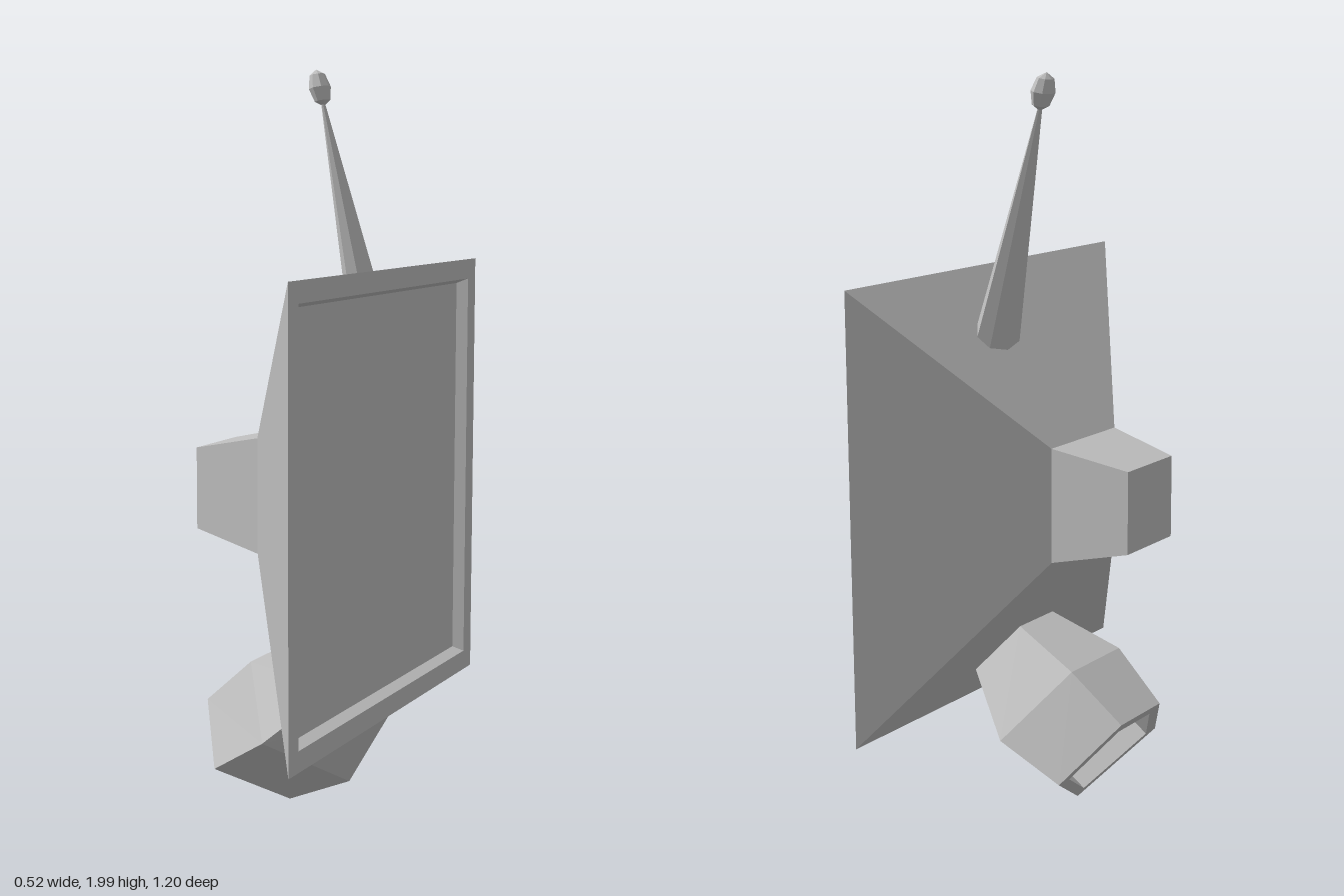
import * as THREE from 'three';

// Faceted skin over a row of rings (equal point counts), with optional end caps.
function loft(rings, capStart = true, capEnd = true) {
  const pos = [];
  const tri = (a, b, c) => pos.push(...a, ...b, ...c);
  const n = rings[0].length;
  for (let i = 0; i < rings.length - 1; i++) {
    for (let j = 0; j < n; j++) {
      const k = (j + 1) % n;
      const a = rings[i][j], b = rings[i][k], c = rings[i + 1][k], d = rings[i + 1][j];
      tri(a, b, c);
      tri(a, c, d);
    }
  }
  const first = rings[0], last = rings[rings.length - 1];
  for (let j = 1; j < n - 1; j++) {
    if (capStart) tri(first[0], first[j + 1], first[j]);
    if (capEnd) tri(last[0], last[j], last[j + 1]);
  }
  const g = new THREE.BufferGeometry();
  g.setAttribute('position', new THREE.Float32BufferAttribute(pos, 3));
  g.computeVertexNormals();
  return g;
}

function faceted(geometry) {
  const g = geometry.toNonIndexed();
  g.computeVertexNormals();
  return g;
}

export function createModel() {
  const model = new THREE.Group();
  const grey = new THREE.MeshStandardMaterial({ color: 0xbebebe });
  grey.name = 'grey';
  const add = (name, geometry, parent = model) => {
    const mesh = new THREE.Mesh(geometry, grey);
    mesh.name = name;
    parent.add(mesh);
    return mesh;
  };

  // Square ring facing +x around the housing centre line
  const midY = 0.88;
  const square = (x, h) => [[1, -1], [1, 1], [-1, 1], [-1, -1]].map(([y, z]) => [x, midY + y * h, z * h]);

  // Housing: small rear box flaring out to the wide front frame
  add('housing', loft([
    square(-0.262, 0.111), square(-0.054, 0.155), square(0.26, 0.6), square(0.26, 0.545),
  ], true, false));

  // Shallow recess with the flat screen at its bottom
  add('screen', loft([square(0.26, 0.545), square(0.23, 0.532)], false, true));

  // Foot: tilted five-sided barrel with a hollow lower end
  const axis = [0.814, 0.581];
  const pentagon = (cx, cy, half, width, top, scale = 1, shift = 0) =>
    [[1, -top], [1, top], [0, width], [-1, 0], [0, -width]].map(([u, z]) => [
      cx + axis[0] * shift - axis[1] * u * half * scale,
      cy + axis[1] * shift + axis[0] * u * half * scale,
      z * scale,
    ]);
  const lower = [-0.138, 0.148, 0.175, 0.248, 0.1];
  add('foot', loft([
    pentagon(...lower, 0.8, 0.06),
    pentagon(...lower, 0.8),
    pentagon(...lower),
    pentagon(0.025, 0.25, 0.206, 0.285, 0.12),
    pentagon(0.18, 0.39, 0.136, 0.18, 0.08),
  ]));

  // Antenna: flattened leaning spike with a faceted knob
  const antenna = new THREE.Group();
  antenna.name = 'antenna';
  antenna.position.set(0.009, 1.91, -0.11);
  antenna.rotation.z = 0.228;
  model.add(antenna);

  const spike = faceted(new THREE.CylinderGeometry(0.009, 0.103, 0.68, 8));
  spike.scale(0.42, 1, 1);
  spike.translate(0, -0.34, 0);
  spike.computeVertexNormals();
  add('antennaSpike', spike, antenna);

  const knob = faceted(new THREE.SphereGeometry(1, 8, 4));
  knob.scale(0.026, 0.05, 0.043);
  knob.translate(0, 0.041, 0);
  knob.computeVertexNormals();
  add('antennaKnob', knob, antenna);

  return model;
}
